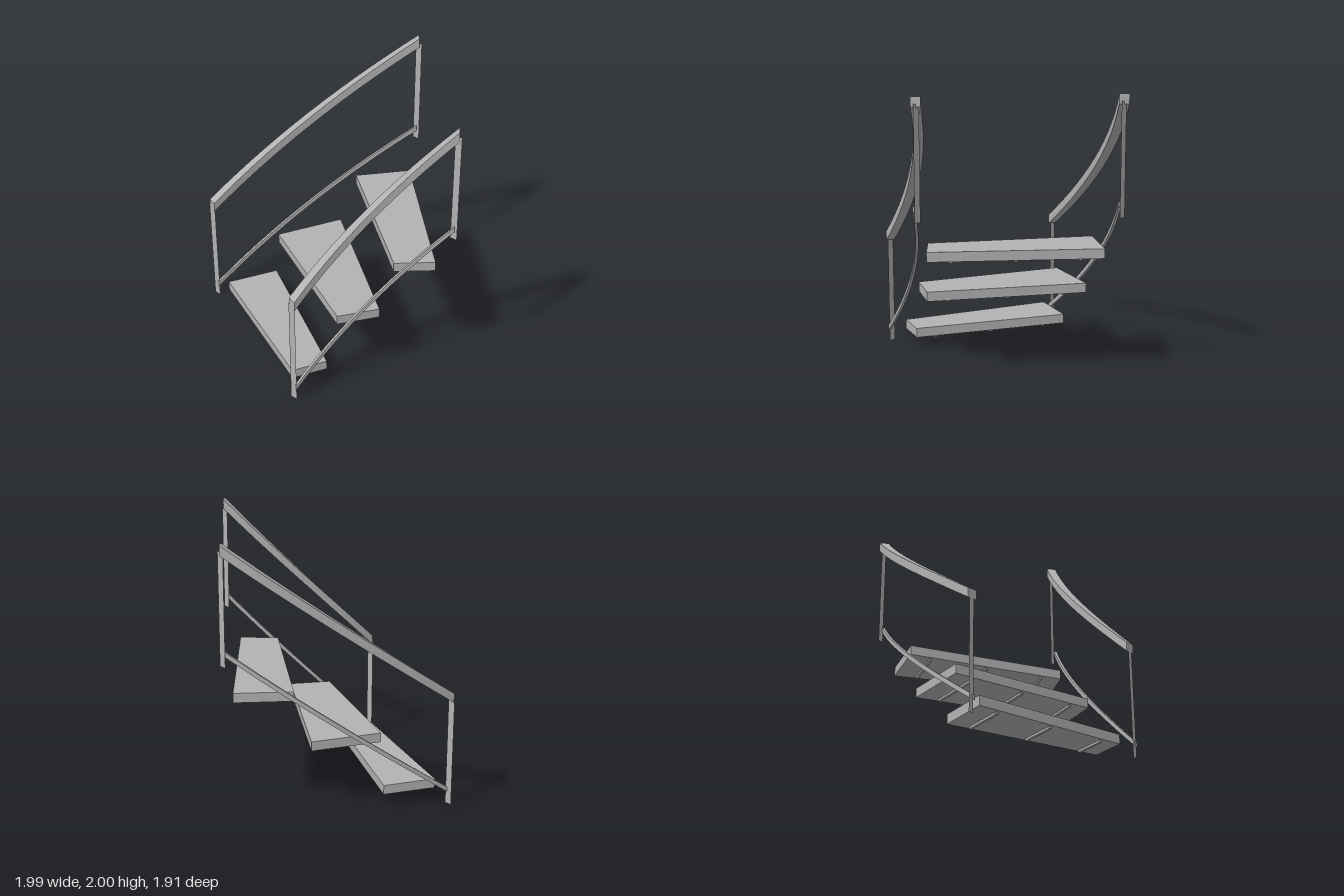
import * as THREE from 'three';

const steel = new THREE.MeshStandardMaterial({ color: 0xb2b2b2 });
steel.name = 'grey';
const sheet = steel;
sheet.side = THREE.DoubleSide;

// Common centre of the curved stair in plan
const CX = 2.06, CZ = 1.45;

function add(group, name, geometry) {
  const mesh = new THREE.Mesh(geometry, steel);
  mesh.name = name;
  group.add(mesh);
  return mesh;
}

// Rectangular bar climbing along an arc, with upright section and end caps
function helicalBar(radius, a0, a1, y0, y1, width, height, steps = 14) {
  const rings = [];
  for (let i = 0; i <= steps; i++) {
    const t = i / steps;
    const a = THREE.MathUtils.degToRad(a0 + (a1 - a0) * t);
    const y = y0 + (y1 - y0) * t;
    const corner = (r, h) => [CX - r * Math.cos(a), y + h, CZ - r * Math.sin(a)];
    const ro = radius + width / 2, ri = radius - width / 2;
    rings.push([corner(ro, 0), corner(ri, 0), corner(ri, height), corner(ro, height)]);
  }
  const pos = [];
  const quad = (a, b, c, d) => pos.push(...a, ...b, ...c, ...a, ...c, ...d);
  for (let i = 0; i < steps; i++) {
    for (let j = 0; j < 4; j++) {
      const k = (j + 1) % 4;
      quad(rings[i][k], rings[i][j], rings[i + 1][j], rings[i + 1][k]);
    }
  }
  quad(...rings[0]);
  quad(...[...rings[steps]].reverse());
  const g = new THREE.BufferGeometry();
  g.setAttribute('position', new THREE.Float32BufferAttribute(pos, 3));
  g.computeVertexNormals();
  return g;
}

// One side: handrail, lower rail and two flat posts
function railing(name, radius, a0, a1, front, back) {
  const g = new THREE.Group();
  g.name = name;
  add(g, 'handrail', helicalBar(radius, a0, a1, 0.79, 1.93, 0.07, 0.07));
  add(g, 'lowerRail', helicalBar(radius - 0.02, a0, a1, 0.087, 1.228, 0.02, 0.037));
  for (const [label, [x, z], y0, y1] of [['frontPost', front, 0, 0.83], ['backPost', back, 1.15, 1.95]]) {
    add(g, label, new THREE.PlaneGeometry(0.054, y1 - y0)).position.set(x, (y0 + y1) / 2, z);
  }
  return g;
}

// Tapered tread; corners run back-right, back-left, front-left, front-right as [x, z]
function tread(corners, y) {
  const g = new THREE.Group();
  g.name = 'step';
  const shape = new THREE.Shape(corners.map(([x, z]) => new THREE.Vector2(x, -z)));
  const slab = new THREE.ExtrudeGeometry(shape, { depth: 0.07, bevelEnabled: false });
  slab.rotateX(-Math.PI / 2);
  add(g, 'tread', slab).position.y = y;
  // Slim cleats under the tread
  const [b0, b1, f1, f0] = corners.map(([x, z]) => new THREE.Vector2(x, z));
  for (const t of [0.133, 0.5, 0.867]) {
    const b = b0.clone().lerp(b1, t), f = f0.clone().lerp(f1, t);
    const d = f.clone().sub(b), m = b.clone().lerp(f, 0.5);
    const cleat = add(g, 'cleat', new THREE.BoxGeometry(0.02, 0.016, d.length() * 0.86));
    cleat.position.set(m.x, y - 0.008, m.y);
    cleat.rotation.y = Math.atan2(d.x, d.y);
  }
  return g;
}

export function createModel() {
  const model = new THREE.Group();
  model.name = 'curvedStair';
  model.add(
    railing('outerRailing', 3.199, 19.13, 48.23, [-0.965, 0.4], [-0.07, -0.935]),
    railing('innerRailing', 1.815, 16.4, 53, [0.318, 0.938], [0.963, 0]),
    tread([[-0.665, 0.04], [0.36, 0.63], [0.24, 0.865], [-0.845, 0.39]], 0.09),
    tread([[-0.375, -0.4], [0.575, 0.305], [0.4, 0.56], [-0.605, 0.065]], 0.471),
    tread([[-0.035, -0.82], [0.85, 0.035], [0.635, 0.23], [-0.305, -0.5]], 0.853),
  );
  return model;
}
